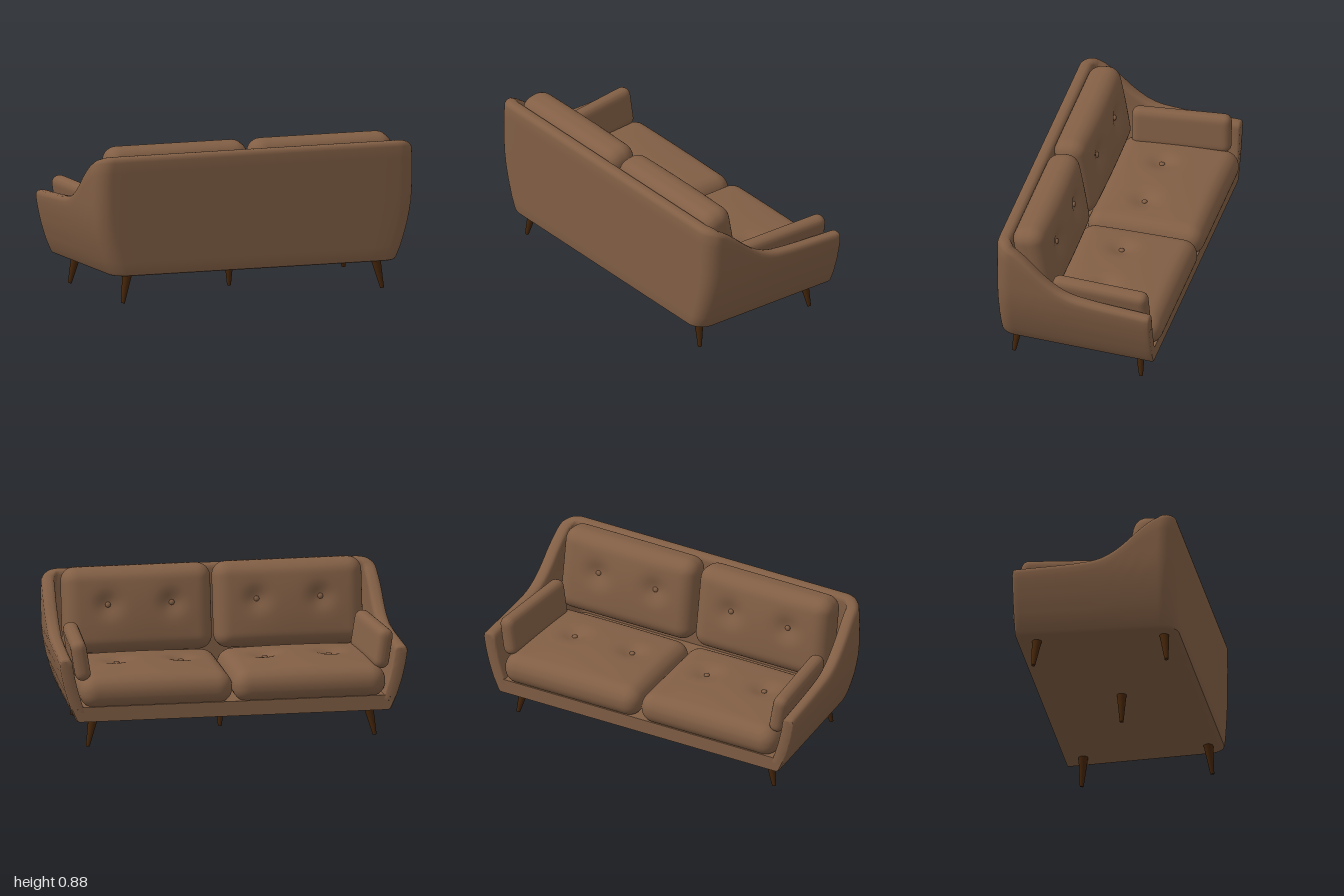
import * as THREE from 'three';
import { mergeVertices, toCreasedNormals } from 'three/addons/utils/BufferGeometryUtils.js';

const leather = new THREE.MeshStandardMaterial({ color: 0x825f45 });
leather.name = 'brown leather';
const wood = new THREE.MeshStandardMaterial({ color: 0x452509 });
wood.name = 'dark wood';

// Linear interpolation through a short list of [input, output] pairs
function table(points, v) {
  if (v <= points[0][0]) return points[0][1];
  for (let i = 1; i < points.length; i++) {
    const [a, fa] = points[i - 1], [b, fb] = points[i];
    if (v <= b) return fa + (fb - fa) * (v - a) / (b - a);
  }
  return points[points.length - 1][1];
}

// Half width of the shell by height, and its top edge by depth
const flare = [[0.165, 0.9], [0.25, 0.937], [0.35, 0.968], [0.45, 0.99], [0.53, 1.0], [0.7, 1.004], [0.8, 1.0], [0.85, 0.985]];
const topEdge = [[-0.45, 0.53], [-0.2, 0.543], [-0.1, 0.55], [0, 0.562], [0.05, 0.575], [0.1, 0.598], [0.15, 0.631], [0.2, 0.672],
  [0.25, 0.72], [0.3, 0.765], [0.35, 0.802], [0.4, 0.829], [0.44, 0.841], [0.47, 0.845]];
const FRONT = -0.447, BACK = 0.472, R = 0.1, BEND = BACK - R;

const halfWidth = (y, z) => table(flare, y) - 0.05 * (Math.min(z, BEND) + 0.45);

// Stations along the U-shaped plan: side, corner, back, then mirrored
function makeStations() {
  const half = [];
  for (let i = 0; i <= 36; i++) half.push({ z: FRONT + 0.012 + (BEND - FRONT - 0.012) * i / 36 });
  for (let i = 1; i <= 10; i++) half.push({ angle: Math.PI / 2 * i / 10 });
  for (let i = 1; i <= 8; i++) half.push({ angle: Math.PI / 2, across: i / 8 });
  half.unshift({ z: FRONT, squeeze: 1 }, { z: FRONT, squeeze: 0.2 }, { z: FRONT + 0.004, squeeze: 0.06 });
  half.forEach(s => { s.side = 1; });
  const other = half.slice(0, -1).reverse().map(s => ({ ...s, side: -1 }));
  return half.concat(other);
}

// Point at height y, inset d from the outer surface
function planPoint(s, y, d) {
  if (s.angle === undefined) return [s.side * (halfWidth(y, s.z) - d), s.z];
  const cx = halfWidth(y, BEND) - R;
  const x = (cx + (R - d) * Math.cos(s.angle)) * (1 - (s.across || 0));
  return [s.side * x, BEND + (R - d) * Math.sin(s.angle)];
}

// Wall cross-section: up the outside, over the rounded top, down the inside
function wallSection(h) {
  const pts = [[0.06, 0.165], [0.012, 0.165], [0.003, 0.169], [0, 0.18]];
  for (let i = 1; i <= 10; i++) pts.push([0, 0.18 + (h - 0.21) * i / 10]);
  pts.push([0.004, h - 0.014], [0.015, h - 0.003], [0.03, h], [0.05, h], [0.064, h - 0.005], [0.072, h - 0.016], [0.074, h - 0.03]);
  for (let i = 1; i <= 8; i++) pts.push([0.074, h - 0.03 - (h - 0.25) * i / 8]);
  return pts;
}

function shellGeometry() {
  const stations = makeStations(), pos = [], idx = [];
  let n = 0;
  stations.forEach((s, i) => {
    const z = s.angle === undefined ? s.z : BEND + R * Math.sin(s.angle);
    const q = s.squeeze || 0;
    const section = wallSection(table(topEdge, z) - 0.012 * Math.min(1, q * 4));
    n = section.length;
    section.forEach(([d, y], j) => {
      const [px, pz] = planPoint(s, y, d + (0.037 - d) * q);
      pos.push(px, y, pz);
      if (i < stations.length - 1 && j < n - 1) {
        const a = i * n + j, b = a + n;
        idx.push(a, a + 1, b, a + 1, b + 1, b);
      }
    });
  });
  const g = new THREE.BufferGeometry();
  g.setAttribute('position', new THREE.Float32BufferAttribute(pos, 3));
  g.setIndex(idx);
  return toCreasedNormals(g, 0.7);
}

// Base slab following the plan of the shell
function baseGeometry() {
  const outline = makeStations().filter(s => !s.squeeze).map(s => new THREE.Vector2(...planPoint(s, 0.18, 0.02)));
  outline[0].y = outline[outline.length - 1].y = FRONT;
  const g = new THREE.ExtrudeGeometry(new THREE.Shape(outline), { depth: 0.085, bevelEnabled: false });
  g.rotateX(Math.PI / 2);
  g.translate(0, 0.25, 0);
  return g;
}

// Soft box with rounded edges, a crowned top and button dents
function cushionGeometry(w, h, d, r, crown = 0, dents = []) {
  const g = new THREE.BoxGeometry(w, h, d, 44, 14, 36);
  g.deleteAttribute('normal');
  g.deleteAttribute('uv');
  const p = g.attributes.position, v = new THREE.Vector3(), c = new THREE.Vector3();
  const inner = new THREE.Vector3(w / 2 - r, h / 2 - r, d / 2 - r), low = inner.clone().negate();
  for (let i = 0; i < p.count; i++) {
    v.fromBufferAttribute(p, i);
    c.copy(v).clamp(low, inner);
    v.sub(c).setLength(r).add(c);
    const u = 2 * v.x / w, t = 2 * v.z / d;
    let lift = crown * (1 - u * u) * (1 - t * t);
    for (const [x, z] of dents) lift -= 0.028 * Math.exp(-((v.x - x) ** 2 + (v.z - z) ** 2) / 0.0045);
    if (v.y > 0) v.y += lift * Math.min(1, v.y / (h / 2 - r * 0.5));
    p.setXYZ(i, v.x, v.y, v.z);
  }
  const out = mergeVertices(g, 1e-5);
  out.computeVertexNormals();
  return out;
}

function addMesh(parent, name, geometry, material) {
  const m = new THREE.Mesh(geometry, material);
  m.name = name;
  parent.add(m);
  return m;
}

// Cushion with its two buttons as one group
function tuftedCushion(name, w, h, d, r, crown, dents) {
  const group = new THREE.Group();
  group.name = name;
  addMesh(group, name + 'Pad', cushionGeometry(w, h, d, r, crown, dents), leather);
  for (const [x, z] of dents) {
    const b = addMesh(group, name + 'Button', new THREE.SphereGeometry(0.016, 16, 10), leather);
    b.scale.y = 0.6;
    const u = 2 * x / w, t = 2 * z / d;
    b.position.set(x, h / 2 + crown * (1 - u * u) * (1 - t * t) - 0.024, z);
  }
  return group;
}

function addLeg(parent, name, top, foot) {
  const a = new THREE.Vector3(...top), b = new THREE.Vector3(...foot);
  const dir = a.clone().sub(b);
  const leg = addMesh(parent, name, new THREE.CylinderGeometry(0.028, 0.011, dir.length(), 20), wood);
  leg.position.copy(a).add(b).multiplyScalar(0.5);
  leg.quaternion.setFromUnitVectors(new THREE.Vector3(0, 1, 0), dir.normalize());
}

export function createModel() {
  const sofa = new THREE.Group();
  sofa.name = 'sofa';
  addMesh(sofa, 'shell', shellGeometry(), leather);
  addMesh(sofa, 'base', baseGeometry(), leather);

  for (const s of [1, -1]) {
    const side = s > 0 ? 'left' : 'right';

    const seat = tuftedCushion(side + 'SeatCushion', 0.872, 0.18, 0.68, 0.085, 0.025, [[-0.198 * s, 0.055], [0.17 * s, 0.055]]);
    seat.position.set(s * 0.438, 0.325, -0.135);
    sofa.add(seat);

    const back = tuftedCushion(side + 'BackCushion', 0.85, 0.19, 0.49, 0.08, 0.022, [[-0.19 * s, 0.03], [0.175 * s, 0.03]]);
    back.position.set(s * 0.433, 0.637, 0.28);
    back.rotation.x = -Math.PI / 2 + 0.17;
    sofa.add(back);

    const arm = addMesh(sofa, side + 'ArmCushion', cushionGeometry(0.09, 0.23, 0.57, 0.042), leather);
    arm.position.set(s * 0.845, 0.5, -0.13);
    arm.rotation.set(0.02, -0.085 * s, -0.16 * s);

    addLeg(sofa, side + 'FrontLeg', [s * 0.787, 0.17, -0.34], [s * 0.822, 0.002, -0.355]);
    addLeg(sofa, side + 'BackLeg', [s * 0.745, 0.17, 0.382], [s * 0.778, 0.002, 0.4]);
  }
  addLeg(sofa, 'middleLeg', [0, 0.17, 0.012], [0, 0, 0.012]);
  return sofa;
}
